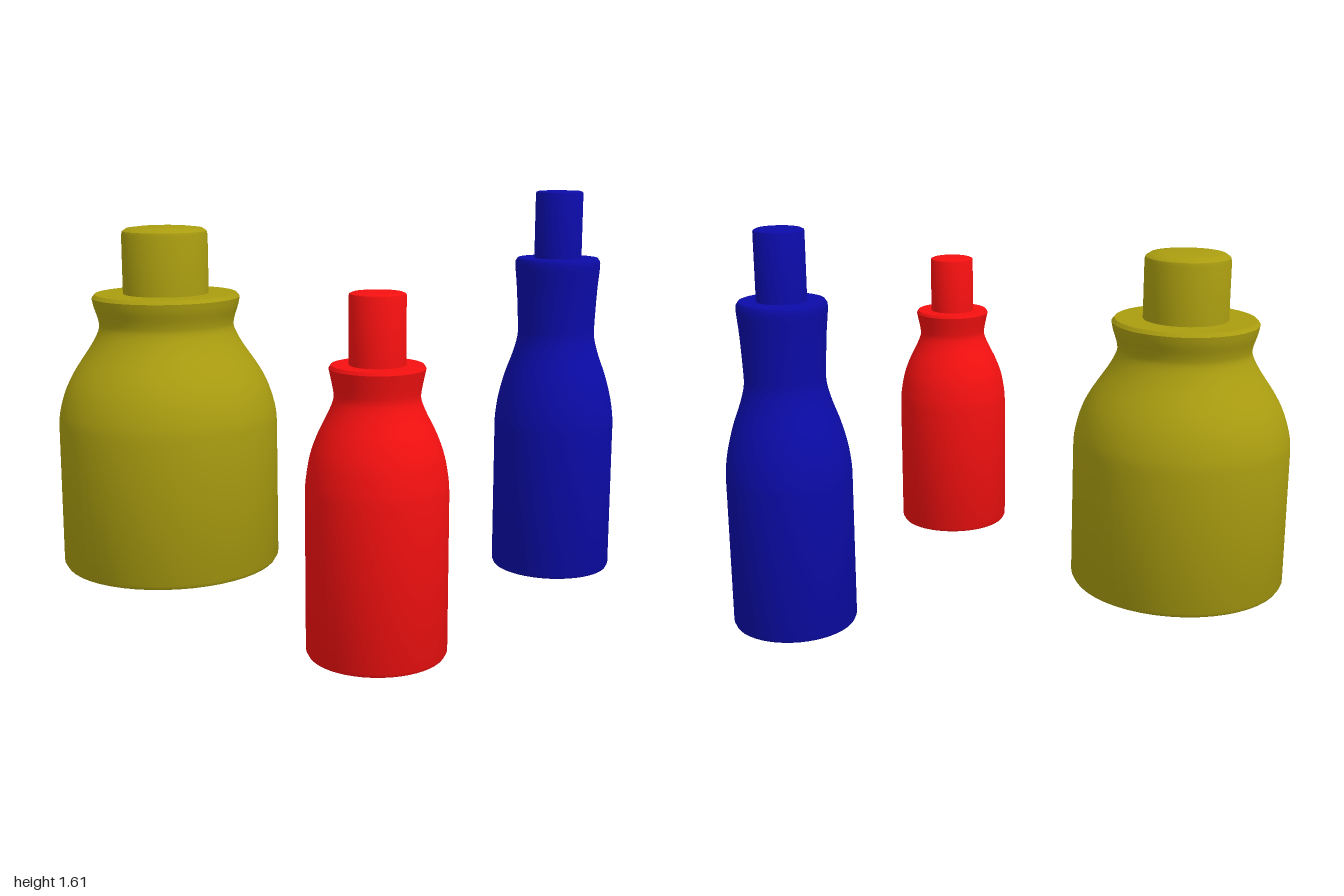
import * as THREE from 'three';
import { toCreasedNormals } from 'three/addons/utils/BufferGeometryUtils.js';

const SEGMENTS = 48;
const v = ([r, y]) => new THREE.Vector2(r, y);

function lathe(name, points, material) {
  const geometry = toCreasedNormals(new THREE.LatheGeometry(points, SEGMENTS), 0.7);
  const mesh = new THREE.Mesh(geometry, material);
  mesh.name = name;
  return mesh;
}

// base: underside and bottom edge; side: smooth shoulder and neck; stopper: radius, bottom, edge, top
function bottle({ name, color, x, z, base, side, shelf, stopper }) {
  const group = new THREE.Group();
  group.name = name;
  group.position.set(x, 0, z);
  const material = new THREE.MeshStandardMaterial({ color });

  // Body: closed base, straight wall, curved shoulder, flared lip, flat shelf
  const curve = new THREE.SplineCurve(side.map(v)).getPoints(36);
  group.add(lathe(name + 'Body', [...base.map(v), ...curve, v(shelf), v([0, shelf[1]])], material));

  // Stopper: plain cylinder with a softly rounded top
  const [r, bottom, edge, top] = stopper;
  const cap = [[r, bottom], [r, edge], [r * 0.98, edge + (top - edge) * 0.4],
    [r * 0.88, edge + (top - edge) * 0.75], [r * 0.6, top - 0.003], [0, top]];
  group.add(lathe(name + 'Stopper', cap.map(v), material));
  return group;
}

export function createModel() {
  const model = new THREE.Group();
  model.name = 'bottles';

  model.add(bottle({
    name: 'wideBottle', color: 0xaa9d10, x: -0.54, z: -0.55,
    base: [[0, 0.048], [0.25, 0.052], [0.4, 0.06], [0.44, 0.068], [0.45, 0.085]],
    side: [[0.45, 0.64], [0.445, 0.71], [0.42, 0.8], [0.38, 0.88], [0.31, 0.985],
      [0.278, 1.05], [0.278, 1.09], [0.295, 1.145], [0.302, 1.18]],
    shelf: [0.29, 1.195],
    stopper: [0.175, 1.19, 1.435, 1.47],
  }));

  model.add(bottle({
    name: 'shortBottle', color: 0xf51010, x: -0.54, z: 0.745,
    base: [[0, 0.02], [0.16, 0.022], [0.225, 0.027], [0.243, 0.032], [0.25, 0.045]],
    side: [[0.25, 0.6], [0.247, 0.66], [0.232, 0.745], [0.205, 0.82], [0.168, 0.895],
      [0.151, 0.94], [0.151, 0.97], [0.162, 1.025], [0.167, 1.048]],
    shelf: [0.16, 1.06],
    stopper: [0.098, 1.055, 1.298, 1.31],
  }));

  model.add(bottle({
    name: 'tallBottle', color: 0x0b0ba8, x: 0.74, z: 0.45,
    base: [[0, 0], [0.18, 0.004], [0.225, 0.01], [0.242, 0.016], [0.248, 0.03]],
    side: [[0.248, 0.6], [0.247, 0.66], [0.235, 0.745], [0.21, 0.84], [0.178, 0.93],
      [0.16, 1.0], [0.159, 1.06], [0.166, 1.2], [0.174, 1.29], [0.174, 1.318]],
    shelf: [0.165, 1.332],
    stopper: [0.097, 1.325, 1.597, 1.61],
  }));

  return model;
}
